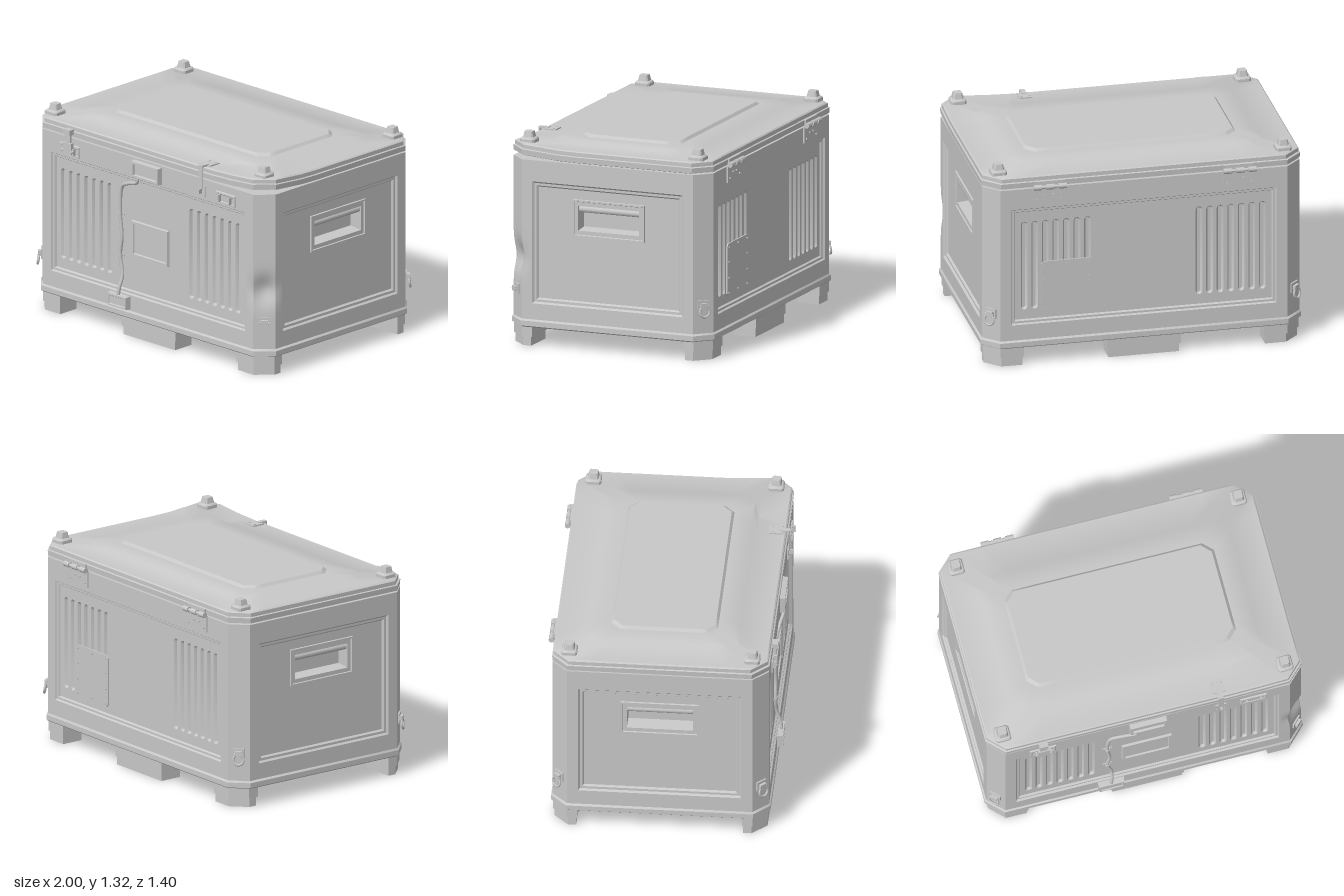
import * as THREE from 'three';
import { toCreasedNormals } from 'three/addons/utils/BufferGeometryUtils.js';

const HX = 0.99, HZ = 0.661, CH = 0.095;      // body half sizes and corner chamfer
const Y0 = 0.165, Y1 = 1.16;                  // body wall bottom and top
const V = (x, y, z) => new THREE.Vector3(x, y, z);
const clamp01 = (t) => Math.min(1, Math.max(0, t));

// Surface through a list of equal-length rings, with optional end caps
function skin(rings, { closed = true, start = false, end = false, deform = null } = {}) {
  const out = [];
  const tri = (...pts) => pts.forEach((p) => out.push(p.x, p.y, p.z));
  if (deform) rings = rings.map((r) => r.map(deform));
  const n = rings[0].length;
  for (let k = 0; k + 1 < rings.length; k++) {
    const a = rings[k], b = rings[k + 1];
    for (let i = 0; i < (closed ? n : n - 1); i++) {
      const j = (i + 1) % n;
      tri(a[i], a[j], b[j]);
      tri(a[i], b[j], b[i]);
    }
  }
  const first = rings[0], last = rings[rings.length - 1];
  for (let i = 1; i + 1 < n; i++) {
    if (start) tri(first[0], first[i + 1], first[i]);
    if (end) tri(last[0], last[i], last[i + 1]);
  }
  const geo = new THREE.BufferGeometry();
  geo.setAttribute('position', new THREE.Float32BufferAttribute(out, 3));
  return toCreasedNormals(geo, 0.6);
}

// Chamfered rectangle in the ground plane; each edge cut into n pieces
function octagon(hx, hz, c, y, n = 1) {
  const p = [[hx, hz - c], [hx, c - hz], [hx - c, -hz], [c - hx, -hz],
    [-hx, c - hz], [-hx, hz - c], [c - hx, hz], [hx - c, hz]];
  return p.flatMap(([x, z], i) => {
    const [x2, z2] = p[(i + 1) % 8];
    return Array.from({ length: n }, (_, k) => V(x + (x2 - x) * k / n, y, z + (z2 - z) * k / n));
  });
}
const rect = (hw, y0, y1, z) => [V(-hw, y0, z), V(hw, y0, z), V(hw, y1, z), V(-hw, y1, z)];

// Upright slot outline with round ends
function pill(cx, y0, y1, r, z) {
  return Array.from({ length: 14 }, (_, i) => {
    const top = i >= 7, a = Math.PI * (1 + (i - (top ? 1 : 0)) / 6);
    const cy = top ? y1 - 0.021 : y0 + 0.021;
    return V(cx + r * Math.cos(a), cy + r * Math.sin(a), z);
  });
}

// The lid is bent upward at its front left corner
const lift = (x, z) => 0.028 * clamp01((x - 0.62) / 0.36) * clamp01((z - 0.3) / 0.35);

export function createModel() {
  const paint = new THREE.MeshStandardMaterial({ color: 0xc8c8c8 });
  paint.name = 'grey metal';
  const root = new THREE.Group();
  root.name = 'storageCrate';
  const crate = new THREE.Group();
  crate.name = 'crate';
  crate.position.z = -0.004;
  root.add(crate);

  const add = (name, geo, parent = crate, x = 0, y = 0, z = 0) => {
    const m = new THREE.Mesh(geo, paint);
    m.name = name;
    m.position.set(x, y, z);
    parent.add(m);
    return m;
  };
  const box = (name, x0, x1, y0, y1, z0, z1, parent) => add(name,
    new THREE.BoxGeometry(x1 - x0, y1 - y0, z1 - z0), parent, (x0 + x1) / 2, (y0 + y1) / 2, (z0 + z1) / 2);
  const rod = (name, r, len, axis, x, y, z, parent, sides = 12) => {
    const g = new THREE.CylinderGeometry(r, r, len, sides);
    if (axis === 'x') g.rotateZ(Math.PI / 2);
    if (axis === 'z') g.rotateX(Math.PI / 2);
    return add(name, g, parent, x, y, z);
  };
  const group = (name, x, y, z, ry = 0, parent = crate) => {
    const g = new THREE.Group();
    g.name = name;
    g.position.set(x, y, z);
    g.rotation.y = ry;
    parent.add(g);
    return g;
  };
  // Raised rectangular frame around a sunken centre
  const frame = (name, x, y, z, hw, hh, border, front, floor, parent) => add(name, skin([
    rect(hw, -hh, hh, 0), rect(hw - 0.004, 0.004 - hh, hh - 0.004, front),
    rect(hw - border, border - hh, hh - border, front),
    rect(hw - border - 0.004, border + 0.004 - hh, hh - border - 0.004, floor)], { end: true }), parent, x, y, z);

  // Base rim, body top and lid
  add('baseRim', skin([octagon(0.99, 0.66, 0.1, 0.118), octagon(1, 0.67, 0.1, 0.126),
    octagon(1, 0.67, 0.1, 0.157), octagon(HX, HZ, CH, 0.168)], { start: true }));
  add('bodyTop', skin([octagon(HX, HZ, CH, Y1 - 0.004), octagon(HX, HZ, CH, Y1)], { end: true }));
  const lidRings = [[0.975, 0.645, 0.1, 1.164], [0.993, 0.662, 0.1, 1.17], [0.995, 0.664, 0.1, 1.203],
    [0.986, 0.655, 0.1, 1.207], [0.986, 0.655, 0.1, 1.231], [0.977, 0.646, 0.1, 1.238],
    [0.805, 0.472, 0.075, 1.238], [0.775, 0.445, 0.07, 1.256],
    [0.66, 0.325, 0.06, 1.256], [0.643, 0.31, 0.058, 1.272]].map((r) => octagon(...r, 10));
  add('lid', skin(lidRings, { start: true, end: true, deform: (p) => V(p.x, p.y + lift(p.x, p.z), p.z) }));

  // Chamfered corner posts; the front left one is dented
  const wallW = 0.84, sideW = 0.51;
  const cornerPath = [[wallW, HZ], [HX - CH, HZ], [HX, HZ - CH], [HX, sideW]];
  const dent = (p) => {
    const across = ((p.x - 0.9425) - (p.z - 0.6135)) / Math.SQRT2;
    const d = 0.042 * Math.exp(-((across / 0.075) ** 2) - ((p.y - 0.54) / 0.085) ** 2);
    return V(p.x - d * 0.6, p.y, p.z - d * 0.8);
  };
  for (const sx of [-1, 1]) for (const sz of [-1, 1]) {
    const dented = sx > 0 && sz > 0, steps = dented ? 48 : 1, cuts = dented ? 5 : 1;
    const line = cornerPath.slice(0, 3).flatMap(([x, z], i) => Array.from({ length: cuts }, (_, k) =>
      [x + (cornerPath[i + 1][0] - x) * k / cuts, z + (cornerPath[i + 1][1] - z) * k / cuts]));
    line.push(cornerPath[3]);
    if (sx * sz < 0) line.reverse();
    const rings = Array.from({ length: steps + 1 }, (_, k) =>
      line.map(([x, z]) => V(x * sx, Y0 + (Y1 - Y0) * k / steps, z * sz)));
    add('cornerPost', skin(rings, { closed: false, deform: dented ? dent : null }));

    // Lashing bracket with its ring
    const lash = group('lashingPoint', sx * 0.9425, 0.345, sz * 0.6135, Math.atan2(sx, sz));
    box('lashPlate', -0.036, 0.036, -0.03, 0.03, 0, 0.01, lash);
    box('lashClamp', -0.022, 0.022, -0.016, 0.014, 0.01, 0.028, lash);
    rod('lashPin', 0.008, 0.056, 'x', 0, -0.004, 0.02, lash);
    if (!dented) {
      const ring = add('lashRing', new THREE.TorusGeometry(0.032, 0.007, 8, 20), lash, 0, -0.038, 0.026);
      ring.rotation.x = -0.15;
    }

    // Stacking knob on the lid
    const kx = sx * 0.888, kz = sz * 0.558;
    add('stackingKnob', skin([octagon(0.048, 0.048, 0.012, 0), octagon(0.048, 0.048, 0.012, 0.02),
      octagon(0.041, 0.041, 0.01, 0.029), octagon(0.033, 0.033, 0.009, 0.031),
      octagon(0.026, 0.026, 0.008, 0.067)], { end: true }), crate, kx, 1.236 + lift(kx, kz), kz);

    // Corner foot in two steps, with a round socket below
    const foot = (inset, y, h, socket) => {
      const x0 = 0.75 + inset, x1 = 0.985 - inset, z0 = 0.502 + inset, z1 = 0.658 - inset, c = 0.09;
      const s = new THREE.Shape([[x0, z0], [x1, z0], [x1, z1 - c], [x1 - c, z1], [x0, z1]]
        .map(([x, z]) => new THREE.Vector2(x * sx, -z * sz)));
      if (socket) s.holes.push(new THREE.Path().absarc(sx * 0.885, -sz * 0.565, 0.036, 0, Math.PI * 2, true));
      const g = new THREE.ExtrudeGeometry(s, { depth: h, bevelEnabled: false, curveSegments: 10 });
      add('cornerFoot', g.rotateX(-Math.PI / 2), crate, 0, y, 0);
    };
    foot(0, 0.056, 0.064, false);
    foot(0.007, 0, 0.056, true);
  }

  // Middle feet under the long sides
  for (const s of [-1, 1]) {
    box('middleFoot', -0.23, 0.23, 0.056, 0.12, s * 0.58 - 0.078, s * 0.58 + 0.078);
    box('middleFoot', -0.22, 0.22, 0, 0.056, s * 0.58 - 0.071, s * 0.58 + 0.071);
  }

  // A wall with a stepped sunken panel; holes are cut in the panel floor
  const FLOOR = -0.024;
  const wall = (name, hw, open, insets, place, holes) => {
    const g = group(name, ...place);
    const step = (i, z) => rect(open - insets[i], 0.268 + insets[i], 1.028 - insets[i], z);
    add('wallFrame', skin([rect(hw, Y0, Y1, 0), step(0, 0), step(1, -0.012),
      step(2, -0.012), step(3, FLOOR)]), g);
    const shape = new THREE.Shape(step(3, 0).map((p) => new THREE.Vector2(p.x, p.y)));
    holes.forEach((h) => shape.holes.push(new THREE.Path(h.map((p) => new THREE.Vector2(p.x, p.y)))));
    add('wallPanel', new THREE.ShapeGeometry(shape), g, 0, 0, FLOOR);
    return g;
  };

  // Long walls with two groups of seven grooves
  const slotX = [-1, 1].flatMap((s) => Array.from({ length: 7 }, (_, i) => s * (0.348 + i * 0.0658)));
  const slots = slotX.map((x) => pill(x, 0.357, 0.935, 0.021, FLOOR));
  const long = [[0, 0, HZ, 0], [0, 0, -HZ, Math.PI]].map((place, i) => {
    const g = wall(i ? 'backWall' : 'frontWall', wallW, 0.827, [0, 0.007, 0.02, 0.027], place, slots);
    slotX.forEach((x, k) => add('ventGroove',
      skin([slots[k], pill(x, 0.357, 0.935, 0.01, FLOOR - 0.016)], { end: true }), g));
    return g;
  });
  const [front, back] = long;

  // Short walls with a carrying handle in a pocket
  const mouth = rect(0.24, 0.703, 0.937, 0);
  for (const s of [-1, 1]) {
    const g = wall(s > 0 ? 'leftWall' : 'rightWall', sideW, 0.498, [0, 0.01, 0.025, 0.034],
      [s * HX, 0, 0, s * Math.PI / 2], [mouth]);
    add('handlePocket', skin([rect(0.24, 0.703, 0.937, FLOOR), rect(0.238, 0.705, 0.935, FLOOR + 0.01),
      rect(0.228, 0.715, 0.925, FLOOR + 0.01), rect(0.225, 0.718, 0.922, FLOOR + 0.003),
      rect(0.202, 0.743, 0.897, FLOOR + 0.003), rect(0.2, 0.752, 0.895, -0.11)], { end: true }), g);
    const bar = rod('handleBar', 0.02, 0.4, 'x', 0, 0.875, -0.044, g, 12);
    bar.scale.z = 0.8;
  }

  // Patch plate riveted over the back grooves
  const patch = group('patchPlate', -0.48, 0.5, FLOOR, 0, back);
  add('patchSheet', skin([0, 0.008].map((y) => octagon(0.16, 0.165, 0.018, y)), { end: true }), patch).rotation.x = Math.PI / 2;
  for (const x of [-0.14, 0, 0.14]) for (const y of [-0.142, -0.05, 0.05, 0.142])
    if (x || Math.abs(y) > 0.1) rod('rivet', 0.006, 0.008, 'z', x, y, 0.011, patch, 8);

  // Hinges at the back
  for (const x of [-0.592, 0.592]) {
    const h = group('hinge', x, 0, 0, 0, back);
    box('lowerLeaf', -0.1, 0.1, 1.06, 1.165, 0, 0.01, h);
    box('upperLeaf', -0.085, 0.085, 1.165, 1.205, 0, 0.012, h);
    for (const k of [-0.078, 0, 0.078]) rod('knuckle', 0.017, 0.05, 'x', k, 1.172, 0.024, h);
    rod('hingePin', 0.01, 0.206, 'x', 0, 1.172, 0.024, h);
    for (const k of [-0.075, -0.025, 0.025, 0.075]) rod('rivet', 0.007, 0.008, 'z', k, k * k > 0.002 ? 1.085 : 1.115, 0.013, h, 8);
  }

  // Front fittings: label frame, upper junction box and lower cable box
  frame('labelFrame', 0, 0.63, FLOOR, 0.157, 0.116, 0.02, 0.014, 0.004, front);
  frame('upperBox', 0, 1.094, 0, 0.117, 0.054, 0.018, 0.032, 0.018, front);
  frame('lowerBox', -0.233, 0.217, 0, 0.082, 0.042, 0.014, 0.036, 0.03, front);

  // Cable running down to the lower box, held by clips
  const run = [[-0.07, 1.06, 0.022], [-0.075, 1.015, 0.02], [-0.16, 0.985, 0.004], [-0.23, 0.945, -0.01],
    [-0.25, 0.77, -0.014], [-0.236, 0.62, -0.014], [-0.25, 0.5, -0.014], [-0.226, 0.38, -0.008],
    [-0.23, 0.3, 0.016], [-0.235, 0.25, 0.02]].map((p) => V(...p));
  add('cable', new THREE.TubeGeometry(new THREE.CatmullRomCurve3(run), 60, 0.011, 8), front);
  for (const y of [0.765, 0.5]) {
    box('clipFoot', -0.28, -0.22, y - 0.007, y + 0.007, FLOOR, FLOOR + 0.006, front);
    rod('clipLoop', 0.015, 0.016, 'y', -0.25, y, -0.013, front);
  }

  // Latch plates, the closed hasp and the opened hasp
  for (const x of [-0.66, 0.665]) {
    const l = group('latch', x, 0, 0, 0, front);
    frame('latchPlate', 0, 1.078, 0, 0.083, 0.038, 0.014, 0.01, 0.006, l);
    for (const s of [-1, 1]) box('latchCheek', s * 0.045 - 0.005, s * 0.045 + 0.005, 1.055, 1.1, 0, 0.026, l);
    if (x > 0) continue;
    box('latchLever', -0.036, 0.036, 1.062, 1.135, 0.012, 0.034, l);
    box('latchArm', -0.022, 0.022, 1.13, 1.205, 0.012, 0.028, l);
    rod('latchPin', 0.011, 0.1, 'x', 0, 1.08, 0.022, l);
    box('latchHook', -0.028, 0.028, 1.185, 1.218, 0, 0.036, l);
  }
  const strap = group('strapHasp', 0.46, 0, 0, 0, front);
  box('strapTop', -0.04, 0.04, 1.238, 1.246, -0.11, -0.03, strap);
  box('strapBend', -0.016, 0.016, 1.238, 1.25, -0.05, 0.014, strap);
  box('strapDrop', -0.016, 0.016, 1.1, 1.25, 0.007, 0.014, strap);
  box('strapPlate', -0.035, 0.035, 1.05, 1.12, 0, 0.008, strap);
  box('strapStaple', -0.006, 0.006, 1.07, 1.1, 0.008, 0.032, strap);
  for (const x of [-0.026, 0.026]) {
    rod('rivet', 0.006, 0.006, 'y', x, 1.248, -0.09, strap, 8);
    rod('rivet', 0.005, 0.006, 'z', x, 1.062, 0.01, strap, 8);
  }
  return root;
}
